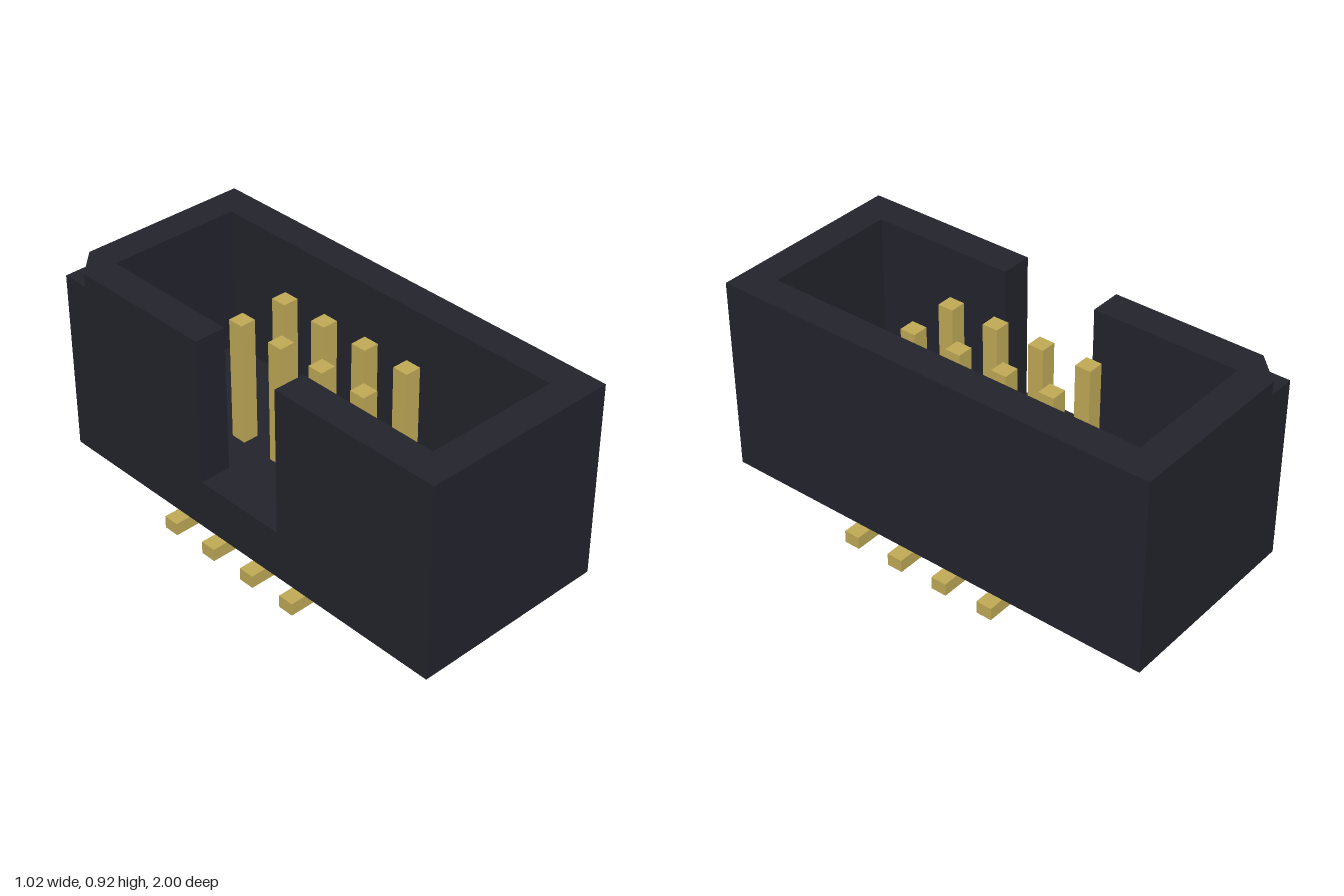
import * as THREE from 'three';

export function createModel() {
  const model = new THREE.Group();
  const plastic = new THREE.MeshStandardMaterial({ color: 0x23232d });
  plastic.name = 'dark plastic';
  const gold = new THREE.MeshStandardMaterial({ color: 0xc1ab57 });
  gold.name = 'gold plating';

  const W = 0.44, L = 1, IW = 0.3, IL = 0.86; // outer and inner half sizes
  const SLOT = 0.215, CUT = 0.12;             // key slot half width, corner mark
  const BASE = 0.055, FLOOR = 0.27, LEDGE = 0.857, TOP = 0.915;

  // Extrude an (x, z) outline upwards between two heights
  function slab(name, outline, y0, y1) {
    const shape = new THREE.Shape(outline.map(([x, z]) => new THREE.Vector2(x, -z)));
    const geo = new THREE.ExtrudeGeometry(shape, { depth: y1 - y0, bevelEnabled: false });
    geo.rotateX(-Math.PI / 2);
    geo.translate(0, y0, 0);
    const mesh = new THREE.Mesh(geo, plastic);
    mesh.name = name;
    model.add(mesh);
  }

  function box(name, parent, x0, x1, y0, y1, z0, z1) {
    const geo = new THREE.BoxGeometry(x1 - x0, y1 - y0, z1 - z0);
    geo.translate((x0 + x1) / 2, (y0 + y1) / 2, (z0 + z1) / 2);
    const mesh = new THREE.Mesh(geo, gold);
    mesh.name = name;
    parent.add(mesh);
  }

  // Wall ring, open at the key slot; the back corner is square or cut off
  const wallOutline = (corner) => [
    [-W, SLOT], [-W, L], [W, L], [W, -L], ...corner, [-W, -SLOT],
    [-IW, -SLOT], [-IW, -IL], [IW, -IL], [IW, IL], [-IW, IL], [-IW, SLOT],
  ];

  // Housing: solid floor, shroud walls, and rim with the first-pin corner mark
  slab('housingFloor', [[-W, -L], [W, -L], [W, L], [-W, L]], BASE, FLOOR);
  slab('shroudWalls', wallOutline([[-W, -L]]), FLOOR, LEDGE);
  slab('shroudRim', wallOutline([[-W + CUT, -L], [-W, -L + CUT]]), LEDGE, TOP);

  // Two rows of four contacts: upright pin and surface-mount foot
  const H = 0.035;
  for (const side of [-1, 1]) {
    for (let i = 0; i < 4; i++) {
      const contact = new THREE.Group();
      contact.name = 'contact';
      const x = side * 0.111, z = (i - 1.5) * 0.222;
      box('pin', contact, x - H, x + H, BASE, 0.815, z - H, z + H);
      const a = side * 0.077, b = side * 0.508;
      box('foot', contact, Math.min(a, b), Math.max(a, b), 0, BASE, z - H, z + H);
      model.add(contact);
    }
  }
  return model;
}
